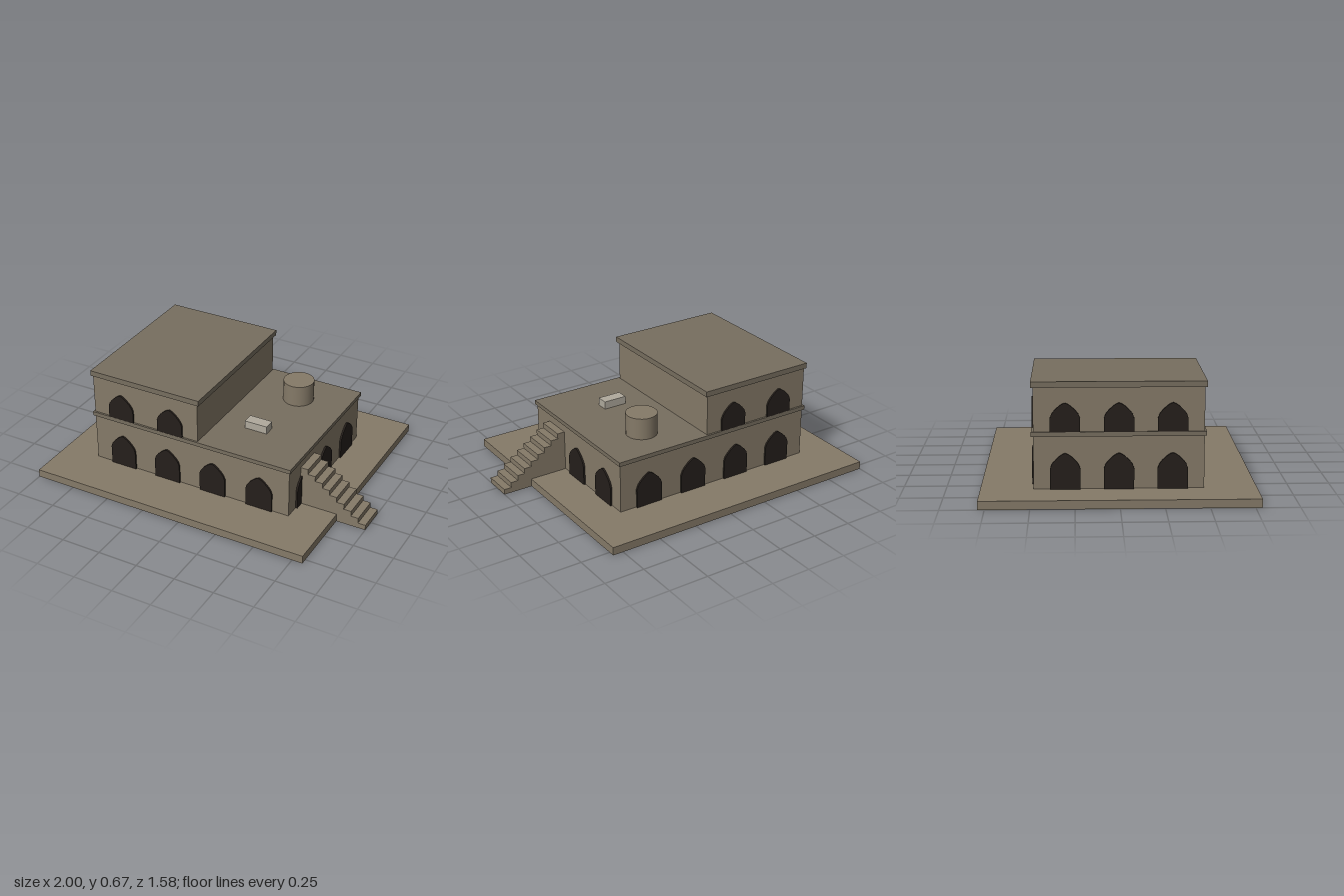
import * as THREE from 'three';

const stone = new THREE.MeshStandardMaterial({ color: 0x857a68, side: THREE.DoubleSide });
const roof = new THREE.MeshStandardMaterial({ color: 0x776e5f });
const dark = new THREE.MeshStandardMaterial({ color: 0x251f1b });
const pale = new THREE.MeshStandardMaterial({ color: 0xb0aa9d });

export function createModel() {
  const model = new THREE.Group();

  const add = (name, geometry, material) => {
    const mesh = new THREE.Mesh(geometry, material);
    mesh.name = name;
    model.add(mesh);
    return mesh;
  };

  // Box given by its min and max on each axis
  const box = (name, [x0, x1], [y0, y1], [z0, z1], material) => {
    const mesh = add(name, new THREE.BoxGeometry(x1 - x0, y1 - y0, z1 - z0), material);
    mesh.position.set((x0 + x1) / 2, (y0 + y1) / 2, (z0 + z1) / 2);
    return mesh;
  };
  // The same box, hollow and open underneath
  const hollowBox = (...args) => {
    const { geometry } = box(...args);
    const index = Array.from(geometry.index.array);
    index.splice(18, 6); // the bottom face
    geometry.setIndex(index);
    geometry.clearGroups();
  };

  // Hollow ground slab, two storeys and their overhanging roof slabs
  hollowBox('groundSlab', [-1, 0.815], [0, 0.05], [-0.788, 0.788], stone);
  box('lowerStorey', [-0.76, 0.574], [0.051, 0.357], [-0.485, 0.485], stone);
  box('lowerRoof', [-0.77, 0.585], [0.357, 0.383], [-0.497, 0.497], roof);
  box('upperStorey', [-0.76, -0.035], [0.383, 0.638], [-0.485, 0.485], stone);
  box('upperRoof', [-0.77, -0.019], [0.638, 0.672], [-0.497, 0.497], roof);

  // Pointed arch panel: y = 0 is the spring line
  const makeArch = (drop) => {
    const half = [[0.086, -drop], [0.086, 0], [0.077, 0.025], [0.061, 0.046], [0.036, 0.07], [0.016, 0.084]];
    const outline = [...half, [0, 0.09], ...half.map(([x, y]) => [-x, y]).reverse()];
    const shape = new THREE.Shape(outline.map(([x, y]) => new THREE.Vector2(x, y)));
    return new THREE.ExtrudeGeometry(shape, { depth: 0.022, bevelEnabled: false }).translate(0, 0, -0.011);
  };
  const lowerArch = makeArch(0.121);
  const upperArch = makeArch(0.077);
  const arch = (geometry, x, y, z, turn) => {
    const mesh = add('archOpening', geometry, dark);
    mesh.position.set(x, y, z);
    mesh.rotation.y = turn;
  };

  // Arches along the front and back
  for (const side of [1, -1]) {
    const turn = side > 0 ? 0 : Math.PI;
    for (const x of [-0.562, -0.248, 0.066, 0.38]) arch(lowerArch, x, 0.17, side * 0.485, turn);
    for (const x of [-0.565, -0.223]) arch(upperArch, x, 0.46, side * 0.485, turn);
  }
  // Arches along the two ends
  for (const z of [-0.305, 0, 0.305]) {
    arch(lowerArch, 0.574, 0.17, z, Math.PI / 2);
    arch(lowerArch, -0.76, 0.17, z, -Math.PI / 2);
    arch(upperArch, -0.76, 0.46, z, -Math.PI / 2);
  }

  // Outside stair: hollow steps falling away from the wall
  const steps = 9, start = 0.574, run = (1 - start) / steps, rise = 0.303 / steps;
  for (let i = 0; i < steps; i++) {
    hollowBox('stairStep', [start + i * run, start + (i + 1) * run], [0, (steps - i) * rise], [0.153, 0.333], stone);
  }

  // Roof terrace fittings
  add('waterTank', new THREE.CylinderGeometry(0.096, 0.096, 0.135, 24), stone)
    .position.set(0.271, 0.4505, -0.244);
  box('roofUnit', [0.138, 0.286], [0.383, 0.432], [0.145, 0.217], pale);

  return model;
}
